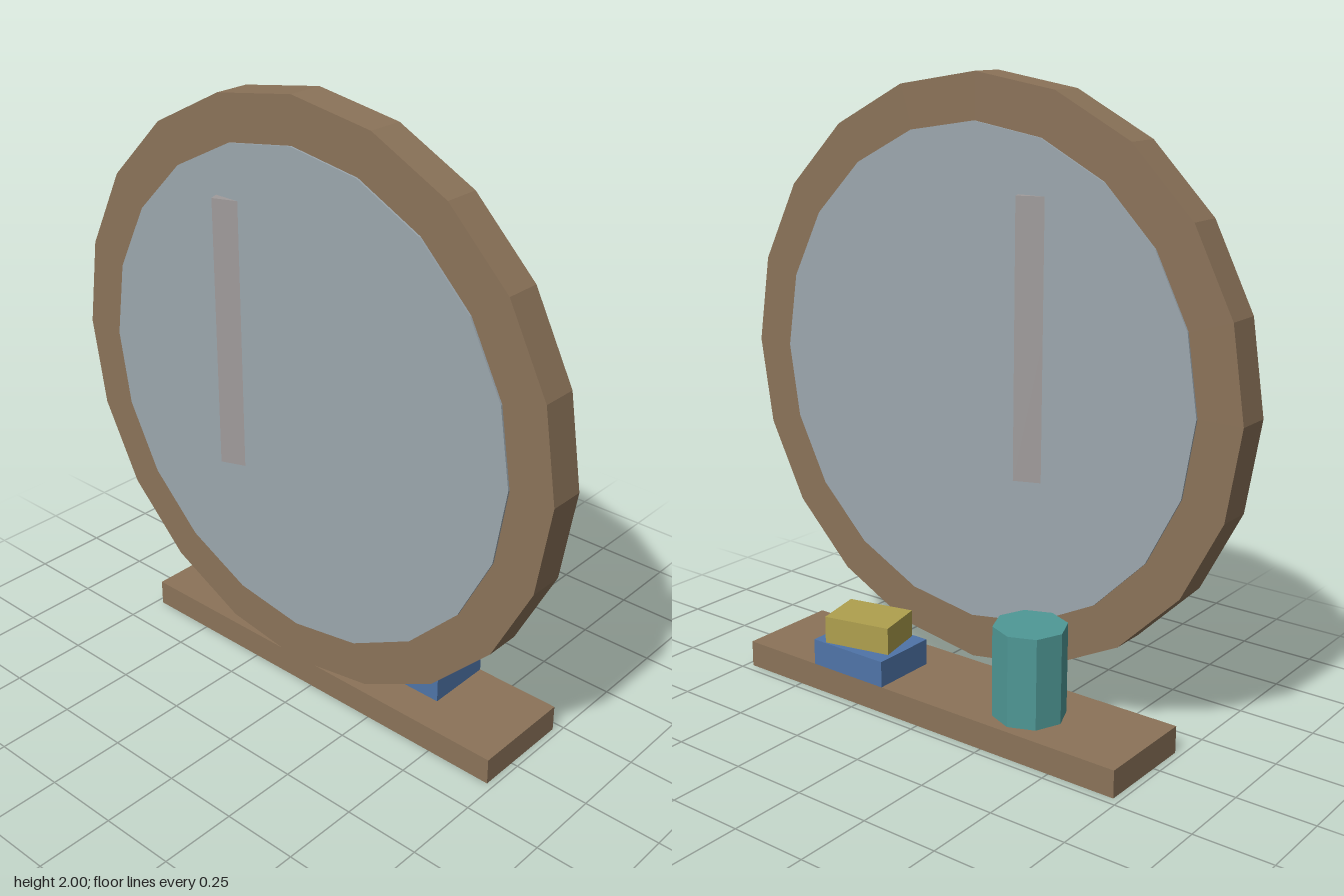
import * as THREE from 'three';

const material = (color) => new THREE.MeshStandardMaterial({ color, flatShading: true });
const wood = material(0x8b7359);
const glassGrey = material(0x9ca7ae);
const handleGrey = material(0xa09c9c);
const teal = material(0x4f9896);
const blue = material(0x4f74a8);
const yellow = material(0xafa04e);

export function createModel() {
  const model = new THREE.Group();
  model.name = 'mirrorStand';

  const add = (name, geometry, mat, x, y, z, turn = 0) => {
    const mesh = new THREE.Mesh(geometry, mat);
    mesh.name = name;
    mesh.position.set(x, y, z);
    mesh.rotation.y = turn;
    model.add(mesh);
    return mesh;
  };
  // Box and 20-sided upright disc, each placed by its centre
  const box = (name, mat, [w, h, d], [x, y, z], turn) =>
    add(name, new THREE.BoxGeometry(w, h, d), mat, x, y, z, turn);
  const disc = (name, mat, radius, thickness) =>
    add(name, new THREE.CylinderGeometry(radius, radius, thickness, 20).rotateX(Math.PI / 2),
      mat, 0, 1.068, 0.127);

  // Shelf
  box('shelf', wood, [1.456, 0.088, 0.347], [0, 0.044, -0.0475]);

  // Round mirror: the pane stands slightly proud of the frame on both sides
  disc('frame', wood, 0.932, 0.116);
  disc('glass', glassGrey, 0.788, 0.128);

  // Twisted upright bar through the pane
  box('bar', handleGrey, [0.171, 0.872, 0.137], [-0.235, 1.214, 0.126], 0.37);

  // Objects on the shelf
  add('pot', new THREE.CylinderGeometry(0.115, 0.115, 0.29, 8), teal, -0.35, 0.25, -0.106);
  box('lowerBook', blue, [0.29, 0.087, 0.226], [0.29, 0.1315, -0.108]);
  box('upperBook', yellow, [0.23, 0.09, 0.169], [0.294, 0.22, -0.109], 0.22);

  return model;
}
